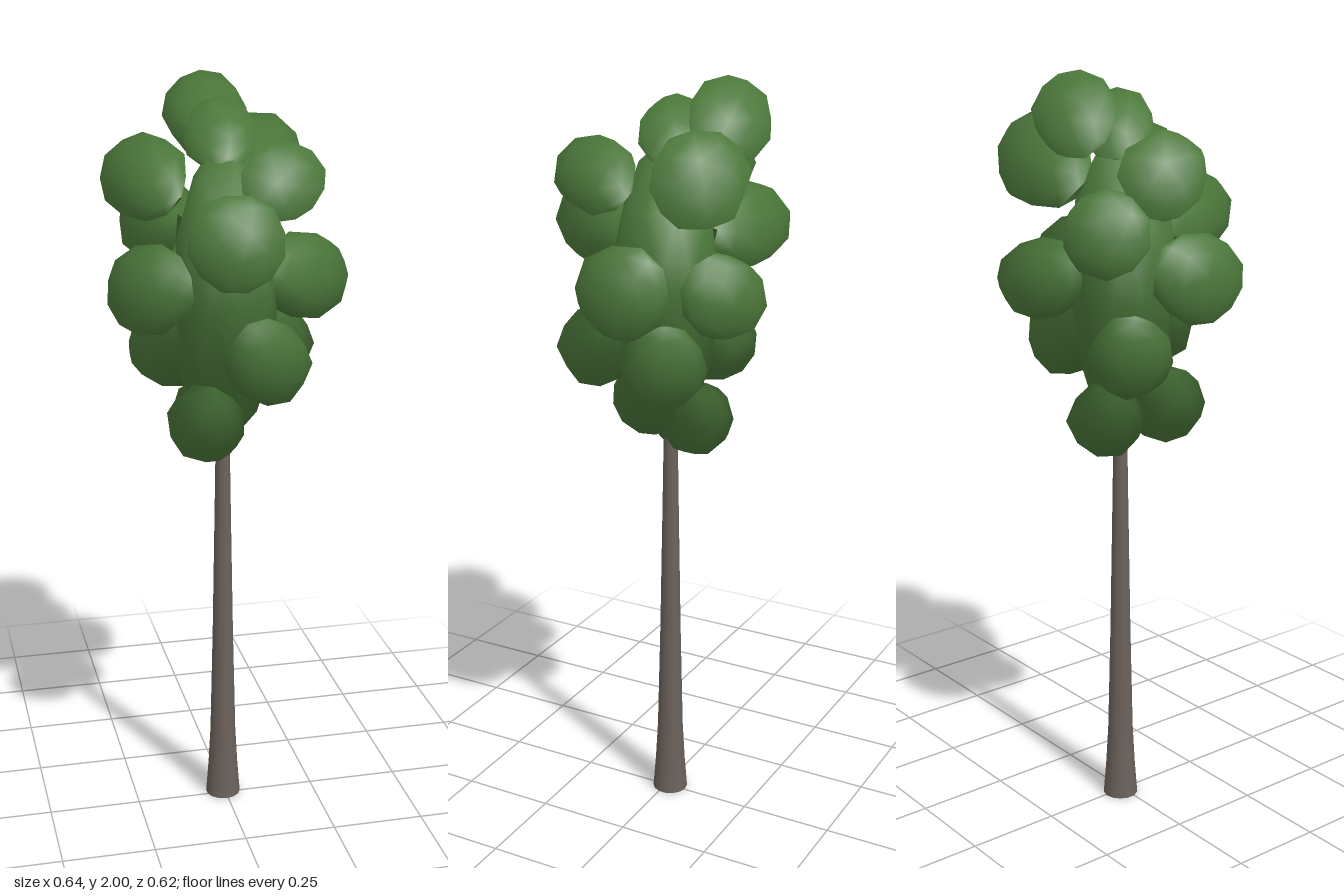
import * as THREE from 'three';
import { mergeVertices } from 'three/addons/utils/BufferGeometryUtils.js';

const barkMaterial = new THREE.MeshStandardMaterial({ color: 0x6b625b });
barkMaterial.name = 'bark';
const leafMaterial = new THREE.MeshStandardMaterial({ color: 0x4b773a });
leafMaterial.name = 'leaves';

const crownCentre = new THREE.Vector3(0, 1.5, 0);

// Small seeded generator for the uneven clumps
function seeded(seed) {
  let s = seed * 7919 + 17;
  return () => {
    s = (s * 16807) % 2147483647;
    return s / 2147483647;
  };
}

// Rough leaf ball whose normals lean outward from the crown for soft overall shading
function leafClump(x, y, z, rx, ry, seed) {
  const random = seeded(seed);
  random();
  let geometry = new THREE.IcosahedronGeometry(1, 1);
  geometry.deleteAttribute('uv');
  geometry.deleteAttribute('normal');
  geometry = mergeVertices(geometry, 1e-4);
  geometry.rotateX(random() * 6.28).rotateY(random() * 6.28);
  const pos = geometry.attributes.position;
  const v = new THREE.Vector3();
  for (let i = 0; i < pos.count; i++) {
    v.fromBufferAttribute(pos, i).multiplyScalar(0.95 + 0.12 * random());
    pos.setXYZ(i, x + v.x * rx, y + v.y * ry, z + v.z * rx);
  }
  geometry.computeVertexNormals();
  const normal = geometry.attributes.normal;
  const n = new THREE.Vector3();
  for (let i = 0; i < pos.count; i++) {
    v.fromBufferAttribute(pos, i).sub(crownCentre);
    v.y /= 1.5;
    n.fromBufferAttribute(normal, i).multiplyScalar(0.45);
    n.addScaledVector(v.normalize(), 0.55).normalize();
    normal.setXYZ(i, n.x, n.y, n.z);
  }
  return new THREE.Mesh(geometry, leafMaterial);
}

export function createModel() {
  const tree = new THREE.Group();
  tree.name = 'tree';

  // Slender trunk with a flared foot
  const profile = [[0.048, 0], [0.041, 0.09], [0.035, 0.2], [0.028, 0.5], [0.022, 0.85], [0.018, 1.1], [0.012, 1.5]];
  const trunk = new THREE.Mesh(
    new THREE.LatheGeometry(profile.map(([r, y]) => new THREE.Vector2(r, y)), 14), barkMaterial);
  trunk.name = 'trunk';
  trunk.position.set(-0.005, 0, -0.012);
  tree.add(trunk);

  // Closed underside of the trunk
  const base = new THREE.Mesh(new THREE.CircleGeometry(0.048, 14), barkMaterial);
  base.name = 'trunkBase';
  base.rotation.x = Math.PI / 2;
  base.position.copy(trunk.position);
  tree.add(base);

  // Crown: a tall core with leaf clumps around it [x, y, z, radius]
  const crown = new THREE.Group();
  crown.name = 'crown';
  const core = leafClump(0, 1.45, 0, 0.14, 0.38, 3);
  core.name = 'crownCore';
  crown.add(core);
  const clumps = [
    [-0.02, 1.895, -0.165, 0.105],
    [-0.01, 1.855, -0.02, 0.092],
    [-0.2, 1.755, -0.03, 0.108],
    [0.115, 1.76, 0.135, 0.101],
    [0.12, 1.77, -0.155, 0.12],
    [-0.015, 1.625, 0.19, 0.121],
    [-0.14, 1.62, -0.16, 0.11],
    [-0.21, 1.49, 0.075, 0.114],
    [0.205, 1.495, 0.01, 0.118],
    [0.08, 1.48, -0.2, 0.108],
    [0.075, 1.31, 0.155, 0.108],
    [0.145, 1.3, -0.07, 0.105],
    [-0.135, 1.3, -0.08, 0.106],
    [-0.07, 1.135, 0.085, 0.102],
    [-0.03, 1.115, -0.075, 0.1],
  ];
  clumps.forEach(([x, y, z, r], i) => {
    const clump = leafClump(x, y, z, r, r, i + 11);
    clump.name = 'leafClump' + (i + 1);
    crown.add(clump);
  });
  tree.add(crown);
  return tree;
}
